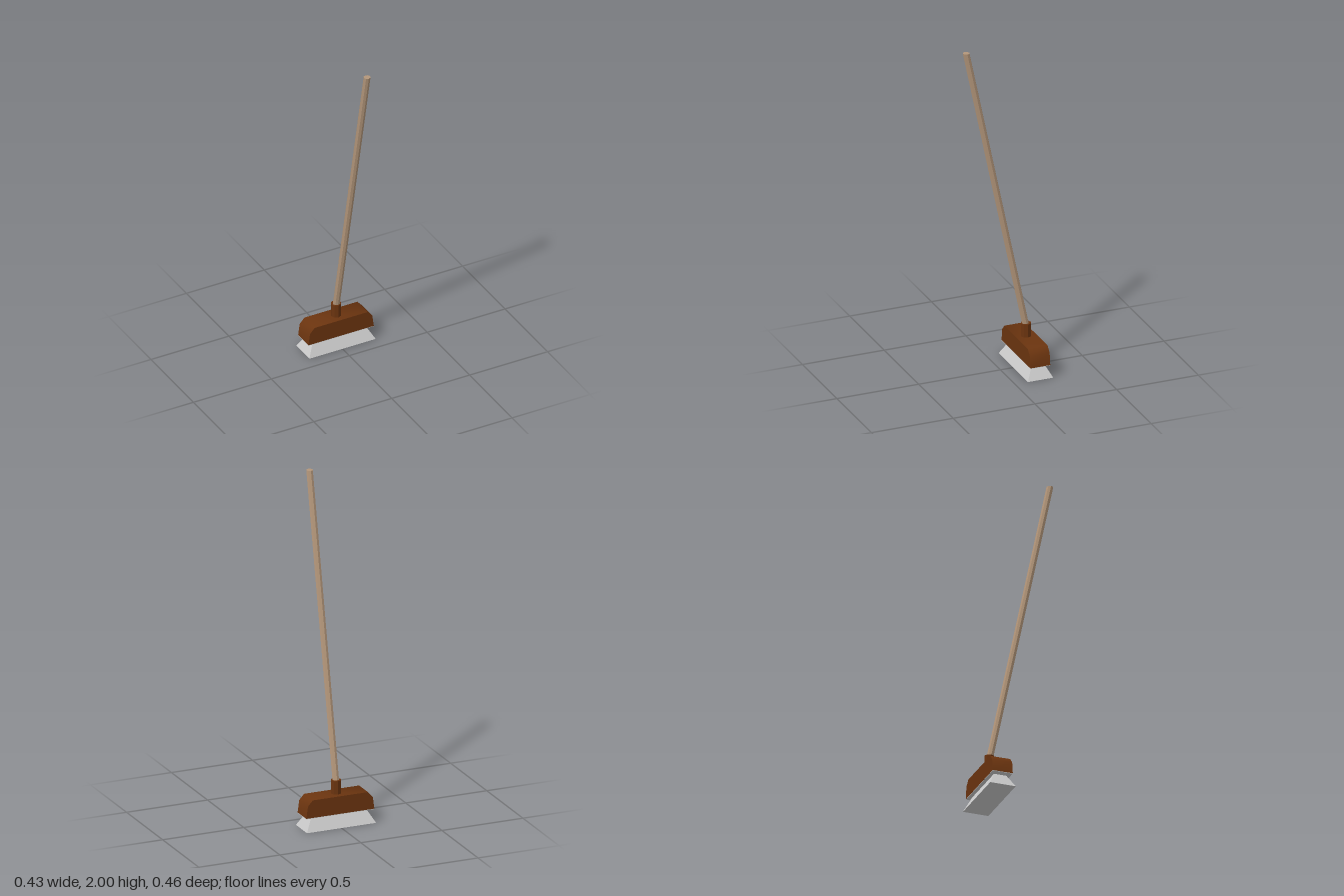
import * as THREE from 'three';
import { toCreasedNormals } from 'three/addons/utils/BufferGeometryUtils.js';

const HEAD_Z = -0.156; // centre line of the brush head

function addPart(group, name, geometry, color, flat = true) {
  const material = new THREE.MeshStandardMaterial({ color, flatShading: flat });
  const mesh = new THREE.Mesh(geometry, material);
  mesh.name = name;
  group.add(mesh);
  return mesh;
}

export function createModel() {
  const broom = new THREE.Group();
  broom.name = 'broom';
  const darkWood = 0x6b340f;

  // Wooden head: chamfered front profile extruded through its depth
  const half = [[0.21, 0.08], [0.2, 0.152], [0.17, 0.185]];
  const outline = [...half, ...half.map(([x, y]) => [-x, y]).reverse()];
  const shape = new THREE.Shape(outline.map(([x, y]) => new THREE.Vector2(x, y)));
  const depth = 0.121;
  const block = new THREE.ExtrudeGeometry(shape, { depth, bevelEnabled: false });
  block.translate(0, 0, HEAD_Z - depth / 2);
  addPart(broom, 'headBlock', toCreasedNormals(block, 1), darkWood, false);

  // Grey base under the head
  const base = new THREE.BoxGeometry(0.418, 0.003, 0.12);
  base.translate(0, 0.0785, HEAD_Z);
  addPart(broom, 'bristleBase', base, 0xcccccc);

  // Bristles: a box that narrows toward the head
  const bristles = new THREE.BoxGeometry(0.426, 0.08, 0.154);
  const bp = bristles.attributes.position;
  for (let i = 0; i < bp.count; i++) {
    if (bp.getY(i) > 0) {
      bp.setX(i, Math.sign(bp.getX(i)) * 0.168);
      bp.setZ(i, Math.sign(bp.getZ(i)) * 0.036);
    }
  }
  bristles.translate(0, 0.04, HEAD_Z);
  addPart(broom, 'bristles', bristles, 0xcccccc);

  // Socket holding the handle
  const socket = new THREE.CylinderGeometry(0.03, 0.03, 0.085, 8);
  socket.translate(0, 0.2225, HEAD_Z);
  addPart(broom, 'socket', socket, darkWood);

  // Handle: octagonal pole sheared forward so its ends stay level
  const bottom = 0.23, top = 2;
  const handle = new THREE.CylinderGeometry(0.02, 0.02, top - bottom, 8);
  handle.translate(0, (top + bottom) / 2, 0);
  const hp = handle.attributes.position;
  for (let i = 0; i < hp.count; i++) {
    const t = (hp.getY(i) - bottom) / (top - bottom);
    hp.setZ(i, hp.getZ(i) + THREE.MathUtils.lerp(-0.159, 0.21, t));
  }
  handle.computeVertexNormals();
  addPart(broom, 'handle', handle, 0xb3967a);

  return broom;
}
